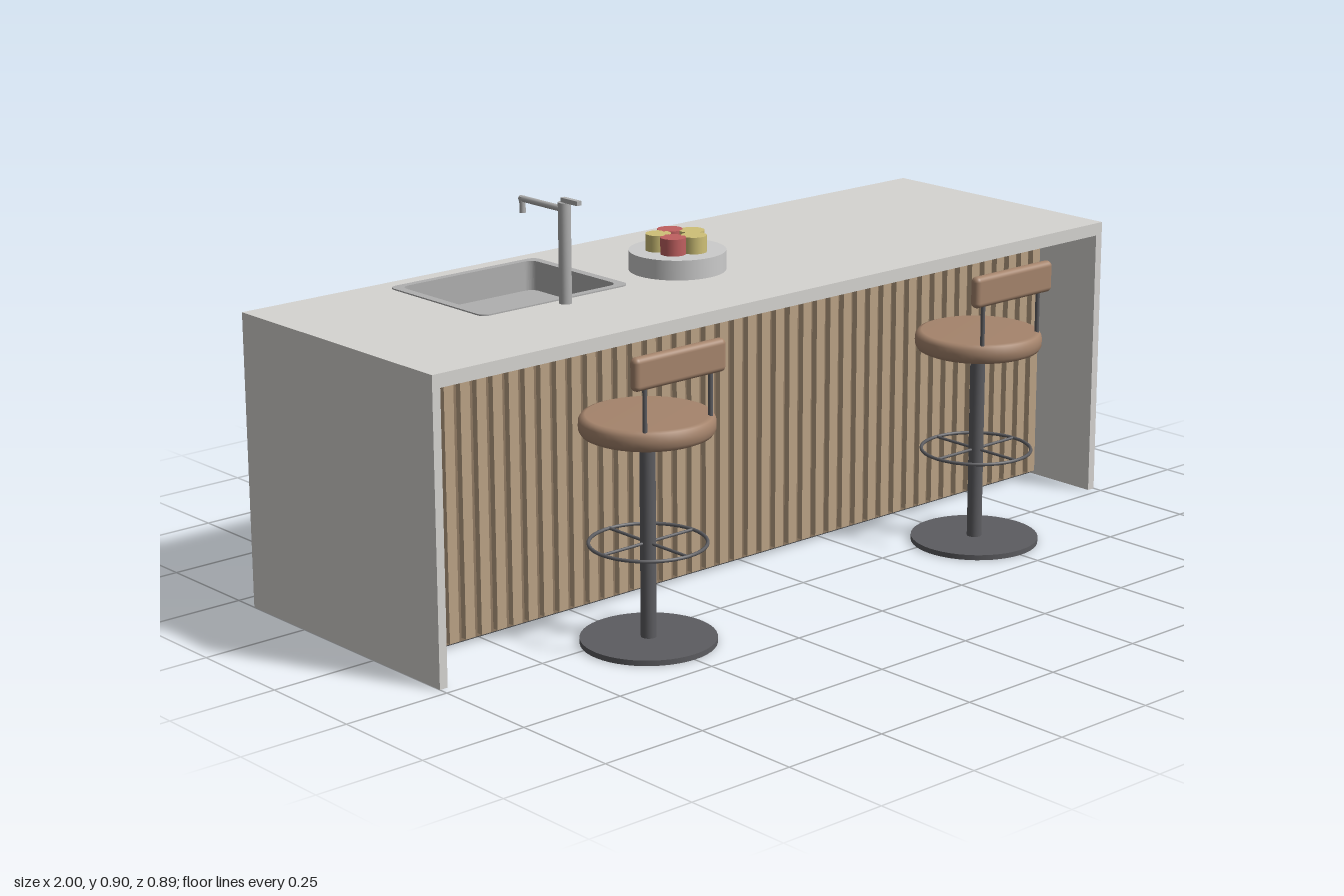
import * as THREE from 'three';
import { RoundedBoxGeometry } from 'three/addons/geometries/RoundedBoxGeometry.js';

const mat = (color) => new THREE.MeshStandardMaterial({ color });
const stone = mat(0xd6d4d1), slatWood = mat(0xbba386), backWood = mat(0x8f7a62), cabinetWood = mat(0xa8957b);
const metal = mat(0x5c5c60), dark = mat(0x48484a), plinthGrey = mat(0x8c8c8c), steel = mat(0xb0b0b0);
const leather = mat(0xa5846c), red = mat(0xc06060), yellow = mat(0xcfc077), tray = mat(0xcccccc);

function add(parent, name, geometry, material, x = 0, y = 0, z = 0) {
  const mesh = new THREE.Mesh(geometry, material);
  mesh.name = name;
  mesh.position.set(x, y, z);
  parent.add(mesh);
  return mesh;
}

// Box given by its minimum and maximum on each axis
function box(parent, name, material, x0, x1, y0, y1, z0, z1) {
  return add(parent, name, new THREE.BoxGeometry(x1 - x0, y1 - y0, z1 - z0), material,
    (x0 + x1) / 2, (y0 + y1) / 2, (z0 + z1) / 2);
}

const cyl = (r, h, n = 24) => new THREE.CylinderGeometry(r, r, h, n);

// Rounded rectangle centred on (cx, cy)
function rect(cx, cy, w, h, r = 0, Type = THREE.Shape) {
  const s = new Type(), a = w / 2 - r, b = h / 2 - r;
  if (r === 0) {
    s.moveTo(cx - a, cy - b).lineTo(cx + a, cy - b).lineTo(cx + a, cy + b).lineTo(cx - a, cy + b);
  } else {
    s.absarc(cx + a, cy + b, r, 0, Math.PI / 2);
    s.absarc(cx - a, cy + b, r, Math.PI / 2, Math.PI);
    s.absarc(cx - a, cy - b, r, Math.PI, Math.PI * 1.5);
    s.absarc(cx + a, cy - b, r, Math.PI * 1.5, Math.PI * 2);
  }
  s.closePath();
  return s;
}

function extrude(shape, hole, depth) {
  if (hole) shape.holes.push(hole);
  return new THREE.ExtrudeGeometry(shape, { depth, bevelEnabled: false, curveSegments: 6 });
}

// Horizontal slab: shape y becomes -z, thickness goes up
const slab = (shape, hole, t) => extrude(shape, hole, t).rotateX(-Math.PI / 2);

// Bar handle on the back, with two stand-offs
function handle(parent, name, x, y, length, vertical) {
  const g = new THREE.Group();
  g.name = name;
  add(g, 'handleBar', cyl(0.004, length, 10), metal).rotation.z = vertical ? 0 : Math.PI / 2;
  for (const s of [-1, 1]) {
    const o = s * length * 0.4;
    add(g, 'handleStandoff', cyl(0.003, 0.022, 8), metal, vertical ? 0 : o, vertical ? o : 0, 0.011).rotation.x = Math.PI / 2;
  }
  g.position.set(x, y, -0.443);
  parent.add(g);
}

// Framed front with a recessed panel
function shakerFront(parent, name, cx, cy, w, h, f) {
  const g = new THREE.Group();
  g.name = name;
  add(g, 'frame', extrude(rect(0, 0, w, h), rect(0, 0, w - 2 * f, h - 2 * f, 0, THREE.Path), 0.02), cabinetWood);
  box(g, 'panel', cabinetWood, f - w / 2, w / 2 - f, f - h / 2, h / 2 - f, 0.008, 0.02);
  g.position.set(cx, cy, -0.428);
  parent.add(g);
}

function createStool() {
  const g = new THREE.Group();
  add(g, 'base', cyl(0.147, 0.012, 48), metal, 0, 0.006, 0);
  add(g, 'column', cyl(0.017, 0.46), metal, 0, 0.235, 0);
  add(g, 'footRing', new THREE.TorusGeometry(0.126, 0.004, 8, 48).rotateX(Math.PI / 2), metal, 0, 0.222, 0);
  for (const a of [0, Math.PI / 2]) {
    add(g, 'footRingSpoke', cyl(0.0035, 0.252, 8).rotateZ(Math.PI / 2).rotateY(a), metal, 0, 0.222, 0);
  }
  const profile = [[0, 0.46], [0.13, 0.46], [0.139, 0.464], [0.144, 0.472], [0.145, 0.483],
    [0.144, 0.494], [0.139, 0.502], [0.13, 0.505], [0, 0.505]].map(([x, y]) => new THREE.Vector2(x, y));
  add(g, 'seat', new THREE.LatheGeometry(profile, 48), leather);
  for (const s of [-1, 1]) add(g, 'backPost', cyl(0.005, 0.12, 10), metal, s * 0.09, 0.555, 0.097);
  add(g, 'backrest', new RoundedBoxGeometry(0.25, 0.072, 0.026, 4, 0.012), leather, 0, 0.631, 0.099);
  return g;
}

export function createModel() {
  const root = new THREE.Group();
  root.name = 'kitchenIsland';

  // Waterfall worktop with a sink opening
  const sx = -0.44, sz = -0.23;
  add(root, 'worktop', slab(rect(0, 0.1065, 2, 0.667), rect(sx, -sz, 0.385, 0.31, 0.025, THREE.Path), 0.03),
    stone, 0, 0.637, 0);
  for (const s of [-1, 1]) {
    box(root, 'sidePanel', stone, s * 0.99 - 0.01, s * 0.99 + 0.01, 0, 0.637, -0.44, 0.227);
  }

  // Sink
  const sink = new THREE.Group();
  sink.name = 'sink';
  root.add(sink);
  const bowlHole = () => rect(sx, -sz, 0.37, 0.3, 0.022, THREE.Path);
  add(sink, 'sinkRim', slab(rect(sx, -sz, 0.41, 0.335, 0.02), bowlHole(), 0.003), steel, 0, 0.667, 0);
  add(sink, 'sinkWall', slab(rect(sx, -sz, 0.382, 0.308, 0.025), bowlHole(), 0.067), steel, 0, 0.6, 0);
  add(sink, 'sinkFloor', slab(rect(sx, -sz, 0.382, 0.308, 0.025), null, 0.006), steel, 0, 0.596, 0);

  // Tap
  const tap = new THREE.Group();
  tap.name = 'tap';
  tap.position.set(sx, 0, -0.036);
  root.add(tap);
  add(tap, 'tapColumn', cyl(0.014, 0.223), steel, 0, 0.7785, 0);
  add(tap, 'tapSpout', cyl(0.007, 0.145, 16), steel, 0, 0.874, -0.0765).rotation.x = Math.PI / 2;
  add(tap, 'tapNozzle', cyl(0.007, 0.036, 16), steel, 0, 0.861, -0.143);
  box(tap, 'tapLever', steel, -0.006, 0.006, 0.89, 0.9, -0.005, 0.05);

  // Tray of fruit
  const fruit = new THREE.Group();
  fruit.name = 'fruitTray';
  fruit.position.set(-0.057, 0, -0.106);
  root.add(fruit);
  add(fruit, 'tray', cyl(0.11, 0.045, 48), tray, 0, 0.6895, 0);
  [yellow, yellow, red, yellow, red].forEach((m, i) => {
    const a = i * Math.PI * 0.4;
    add(fruit, 'fruit', cyl(0.029, 0.038, 20), m, 0.043 * Math.cos(a), 0.731, 0.043 * Math.sin(a));
  });

  // Carcass and plinth
  box(root, 'carcass', backWood, -0.98, 0.98, 0.09, 0.58, -0.405, 0.03);
  box(root, 'faceBoard', backWood, -0.98, 0.98, 0.09, 0.637, -0.41, -0.4);
  box(root, 'plinth', plinthGrey, -0.98, 0.98, 0.005, 0.09, -0.36, 0.03);
  box(root, 'floorBoard', dark, -0.98, 0.98, 0.002, 0.008, -0.359, 0.04);

  // Slatted front under the overhang
  box(root, 'slatBacking', backWood, -0.98, 0.98, 0.005, 0.637, 0.03, 0.042);
  const count = 46, pitch = 1.96 / count;
  for (let i = 0; i < count; i++) {
    const x = -0.98 + pitch * (i + 0.5);
    box(root, 'slat', slatWood, x - 0.0125, x + 0.0125, 0.012, 0.632, 0.042, 0.057);
  }

  // Four cabinet units on the back, each a drawer over two doors
  for (let i = 0; i < 4; i++) {
    const cx = -0.735 + i * 0.49;
    shakerFront(root, 'drawerFront', cx, 0.57, 0.482, 0.122, 0.028);
    handle(root, 'drawerHandle', cx, 0.577, 0.265, false);
    for (const s of [-1, 1]) {
      shakerFront(root, 'door', cx + s * 0.1215, 0.298, 0.239, 0.412, 0.045);
      handle(root, 'doorHandle', cx + s * 0.035, 0.405, 0.12, true);
    }
  }

  // Stools
  for (const s of [-1, 1]) {
    const stool = createStool();
    stool.name = s > 0 ? 'leftStool' : 'rightStool';
    stool.position.set(s * 0.5, 0, 0.3);
    root.add(stool);
  }
  return root;
}
